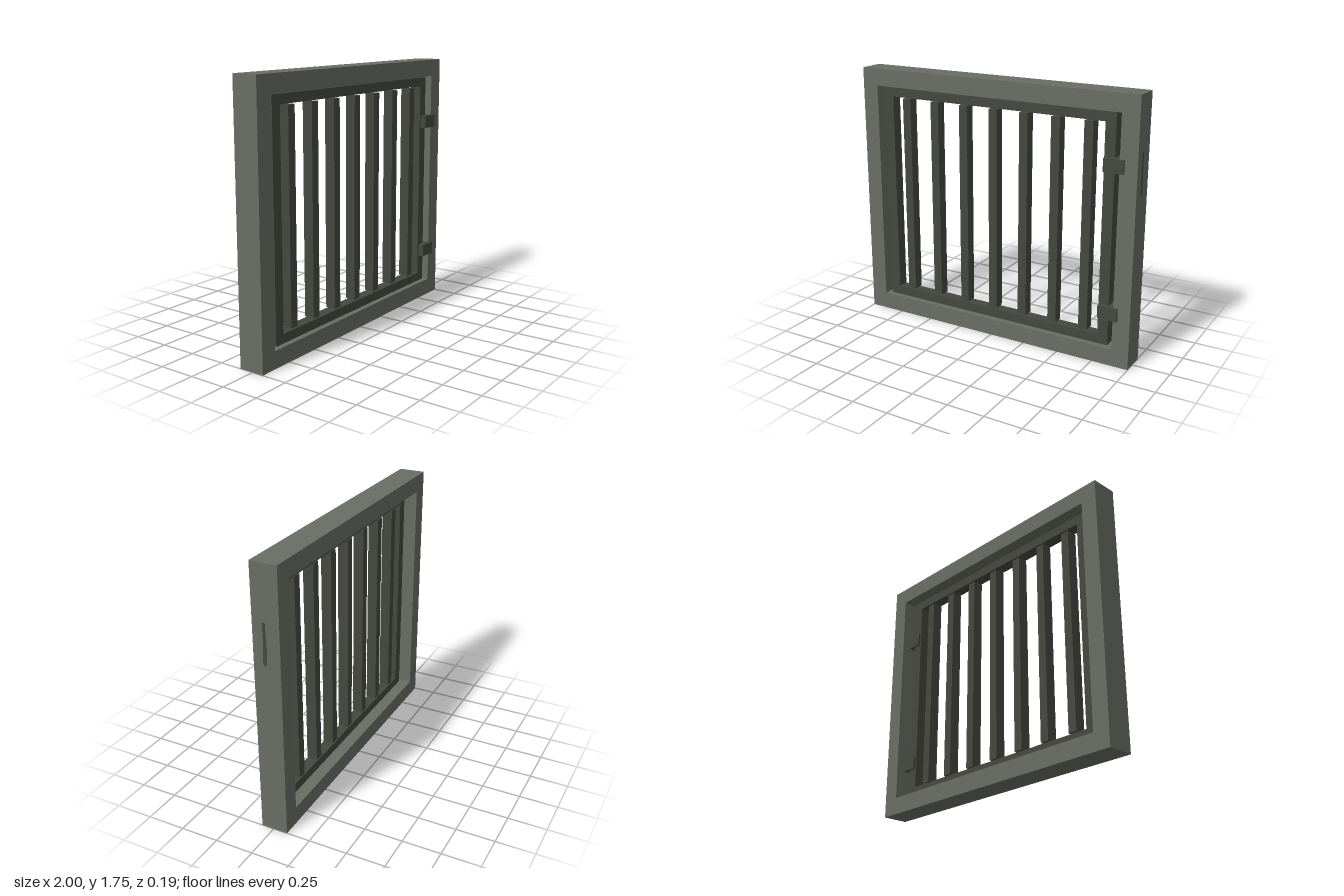
import * as THREE from 'three';

export function createModel() {
  const model = new THREE.Group();
  model.name = 'barredGate';

  const stone = new THREE.MeshStandardMaterial({ color: 0x696e65 });
  stone.name = 'stone grey';
  const iron = new THREE.MeshStandardMaterial({ color: 0x454840 });
  iron.name = 'dark iron';

  const add = (name, geometry, material) => {
    const mesh = new THREE.Mesh(geometry, material);
    mesh.name = name;
    model.add(mesh);
    return mesh;
  };

  // Box given by its limits on each axis
  const box = (name, [x0, x1], [y0, y1], [z0, z1], material) =>
    add(name, new THREE.BoxGeometry(x1 - x0, y1 - y0, z1 - z0), material)
      .position.set((x0 + x1) / 2, (y0 + y1) / 2, (z0 + z1) / 2);

  // Rectangle outline, used for both frames
  const rect = (Type, w, y0, y1) => {
    const path = new Type();
    path.moveTo(-w, y0);
    path.lineTo(w, y0);
    path.lineTo(w, y1);
    path.lineTo(-w, y1);
    path.closePath();
    return path;
  };
  const frame = (name, outer, inner, z0, z1, material) => {
    const shape = rect(THREE.Shape, ...outer);
    shape.holes.push(rect(THREE.Path, ...inner));
    const geometry = new THREE.ExtrudeGeometry(shape, { depth: z1 - z0, bevelEnabled: false });
    geometry.translate(0, 0, z0);
    add(name, geometry, material);
  };

  // Outer surround and the door frame hung inside it
  frame('outerFrame', [1, 0, 1.75], [0.885, 0.115, 1.635], -0.095, 0.08, stone);
  frame('doorFrame', [0.845, 0.123, 1.628], [0.775, 0.184, 1.567], -0.02, 0.055, iron);

  // Seven upright square bars
  for (let i = -3; i <= 3; i++) {
    const x = i * 0.2225;
    box('bar', [x - 0.03, x + 0.03], [0.193, 1.559], [-0.018, 0.052], iron);
  }

  // Hinge blocks bridging door and surround
  for (const y of [0.358, 1.312]) {
    box('hinge', [0.785, 0.917], [y - 0.043, y + 0.043], [-0.034, 0.095], iron);
  }

  // Slim inlay on the hinge side of the surround
  const inlay = new THREE.Shape();
  inlay.moveTo(-0.015, 1.4);
  inlay.lineTo(-0.012, 1.28);
  inlay.lineTo(-0.018, 1.15);
  inlay.lineTo(-0.008, 1.13);
  inlay.lineTo(0.008, 1.14);
  inlay.lineTo(0.01, 1.23);
  inlay.lineTo(0.004, 1.4);
  const inlayGeometry = new THREE.ExtrudeGeometry(inlay, { depth: 0.004, bevelEnabled: false });
  inlayGeometry.rotateY(Math.PI / 2);
  add('sideInlay', inlayGeometry, iron).position.x = 0.997;

  return model;
}
